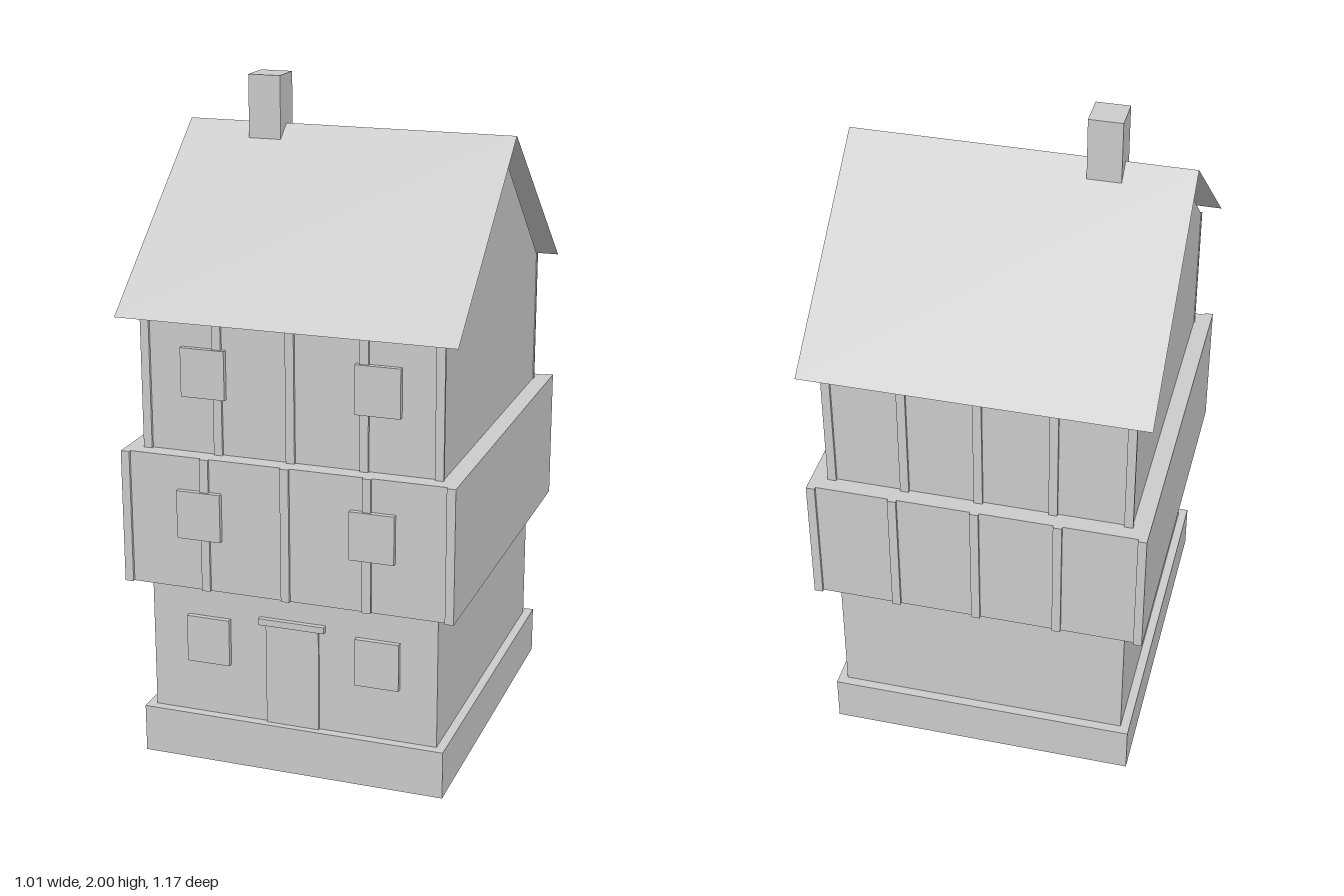
import * as THREE from 'three';

export function createModel() {
  const house = new THREE.Group();
  house.name = 'house';
  const grey = new THREE.MeshStandardMaterial({ color: 0xcccccc, side: THREE.DoubleSide });
  grey.name = 'plain grey';

  const add = (name, geometry) => {
    const mesh = new THREE.Mesh(geometry, grey);
    mesh.name = name;
    house.add(mesh);
    return mesh;
  };
  // box given by its lower and upper limits on each axis
  const box = (name, x0, x1, y0, y1, z0, z1) => {
    add(name, new THREE.BoxGeometry(x1 - x0, y1 - y0, z1 - z0))
      .position.set((x0 + x1) / 2, (y0 + y1) / 2, (z0 + z1) / 2);
  };

  // stacked storeys, the middle one jettied out on all sides
  box('plinth', -0.47, 0.47, 0, 0.147, -0.543, 0.543);
  box('groundFloor', -0.443, 0.443, 0.147, 0.567, -0.515, 0.515);
  box('middleFloor', -0.505, 0.505, 0.567, 0.973, -0.567, 0.567);

  // top storey with its gable, extruded along x
  const gable = new THREE.Shape([
    [-0.515, 0.973], [0.515, 0.973], [0.515, 1.39], [0, 1.848], [-0.515, 1.39],
  ].map(([z, y]) => new THREE.Vector2(z, y)));
  const upper = new THREE.ExtrudeGeometry(gable, { depth: 0.904, bevelEnabled: false });
  upper.translate(0, 0, -0.452).rotateY(Math.PI / 2);
  add('upperFloor', upper);

  // five timber studs on the front and back of both framed storeys
  const stud = 0.026;
  for (const [half, y0, y1, wall] of [[0.505, 0.567, 0.973, 0.567], [0.455, 0.973, 1.39, 0.515]]) {
    for (let i = -2; i <= 2; i++) {
      const x = (i / 2) * (half - stud / 2);
      box('frontStud', x - stud / 2, x + stud / 2, y0, y1, wall, wall + 0.009);
      box('backStud', x - stud / 2, x + stud / 2, y0, y1, -wall - 0.009, -wall);
    }
  }

  // a pair of windows on each storey
  for (const [y, z] of [[0.387, 0.515], [0.8, 0.567], [1.215, 0.515]]) {
    for (const x of [-0.263, 0.263]) {
      box('window', x - 0.067, x + 0.067, y - 0.073, y + 0.073, z, z + 0.016);
    }
  }

  // door and its lintel
  box('door', -0.082, 0.082, 0.147, 0.462, 0.515, 0.523);
  box('lintel', -0.102, 0.102, 0.462, 0.482, 0.515, 0.531);

  // two thin roof slopes meeting at the ridge
  const ridge = 1.853, eave = 1.375, reach = 0.583, w = 0.507;
  for (const s of [1, -1]) {
    const slope = new THREE.BufferGeometry();
    slope.setAttribute('position', new THREE.Float32BufferAttribute([
      -w * s, eave, reach * s, w * s, eave, reach * s,
      w * s, ridge, 0, -w * s, ridge, 0,
    ], 3));
    slope.setIndex([0, 1, 2, 0, 2, 3]);
    slope.computeVertexNormals();
    add(s > 0 ? 'frontRoof' : 'backRoof', slope);
  }

  box('chimney', -0.3, -0.2, 1.79, 2, -0.051, 0.051);
  return house;
}
